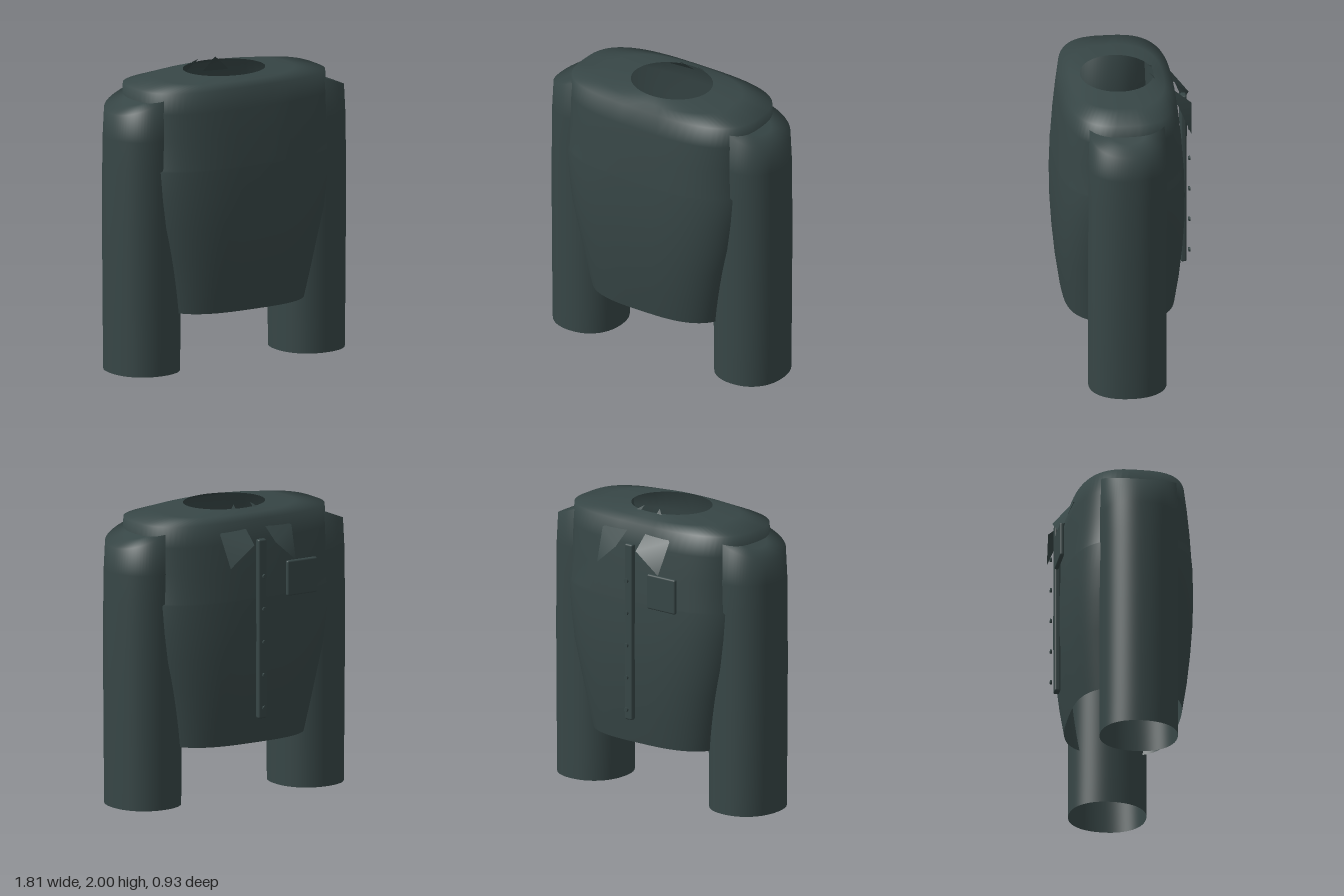
import * as THREE from 'three';
import { RoundedBoxGeometry } from 'three/addons/geometries/RoundedBoxGeometry.js';

const CZ = 0.03; // depth centre of body and sleeves

// Smooth surface through closed rings; each ring is a function angle -> [x, y, z]
function loft(rings, seg = 72) {
  const pos = [], idx = [];
  rings.forEach((ring, j) => {
    for (let i = 0; i < seg; i++) {
      pos.push(...ring((i / seg) * Math.PI * 2));
      if (j === rings.length - 1) continue;
      const a = j * seg + i, b = j * seg + ((i + 1) % seg);
      idx.push(a, a + seg, b, b, a + seg, b + seg);
    }
  });
  const g = new THREE.BufferGeometry();
  g.setAttribute('position', new THREE.Float32BufferAttribute(pos, 3));
  g.setIndex(idx);
  g.computeVertexNormals();
  return g;
}

// Rounded-oval ring: n = 2 is an ellipse, larger is boxier
function oval(y, rx, rz, n = 2, cx = 0, tilt = () => 0) {
  const p = (v) => Math.sign(v) * Math.pow(Math.abs(v), 2 / n);
  return (t) => {
    const x = cx + rx * p(Math.cos(t));
    return [x, y + tilt(x), CZ + rz * p(Math.sin(t))];
  };
}

export function createModel() {
  const group = new THREE.Group();
  const cloth = new THREE.MeshStandardMaterial({ color: 0x374646, side: THREE.DoubleSide });
  cloth.name = 'dark slate cloth';
  const add = (name, geometry, x = 0, y = 0, z = 0) => {
    const m = new THREE.Mesh(geometry, cloth);
    m.name = name;
    m.position.set(x, y, z);
    group.add(m);
    return m;
  };

  // Body: open hem, bulging middle, shoulders closing in to the neck hole
  add('body', loft([
    [0.40, 0.53, 0.37, 3], [0.60, 0.575, 0.40, 3], [0.80, 0.622, 0.42, 3],
    [1.00, 0.674, 0.432, 3], [1.20, 0.704, 0.434, 3], [1.39, 0.726, 0.426, 3],
    [1.40, 0.705, 0.425, 3], [1.60, 0.705, 0.41, 3], [1.78, 0.71, 0.39, 3],
    [1.92, 0.71, 0.37, 3], [1.952, 0.5, 0.31, 2.5], [1.975, 0.285, 0.245, 2],
  ].map((r) => oval(...r))));

  // Sleeves: open cuffs, sloping shoulder cap
  for (const [side, s] of [['left', 1], ['right', -1]]) {
    const slope = (x) => (0.89 - Math.abs(x)) * 0.39;
    const rings = [
      [0, 0.243], [0.2, 0.246], [0.5, 0.25], [1.0, 0.254], [1.4, 0.252], [1.6, 0.248],
    ].map(([y, rx]) => oval(y, rx, 0.26, 2.2, s * 0.65));
    for (const k of [1, 0.5, 0.01])
      rings.push(oval(1.77, 0.24 * k, 0.25 * k, 2.2, s * 0.65, slope));
    add(side + 'Sleeve', loft(rings));
  }

  // Collar points: folded kites running from the neck out over the chest
  for (const [side, s] of [['left', 1], ['right', -1]]) {
    const g = new THREE.BufferGeometry();
    g.setAttribute('position', new THREE.Float32BufferAttribute([
      s * 0.065, 2.0, -0.18, s * 0.085, 1.775, -0.46,
      s * 0.26, 1.63, -0.44, s * 0.285, 1.85, -0.35,
    ], 3));
    g.setIndex(s > 0 ? [0, 3, 1, 1, 3, 2] : [0, 1, 3, 1, 2, 3]);
    g.computeVertexNormals();
    add(side + 'Collar', g);
  }

  // Placket, buttons and chest pocket
  add('placket', new RoundedBoxGeometry(0.065, 1.22, 0.04, 3, 0.012), 0, 1.19, -0.415);
  const button = new THREE.CylinderGeometry(0.015, 0.015, 0.012, 20).rotateX(Math.PI / 2);
  for (let i = 0; i < 5; i++) add('button' + (i + 1), button, 0, 0.655 + i * 0.224, -0.455);
  add('pocket', new RoundedBoxGeometry(0.24, 0.24, 0.03, 3, 0.012), -0.3, 1.515, -0.447);

  return group;
}
